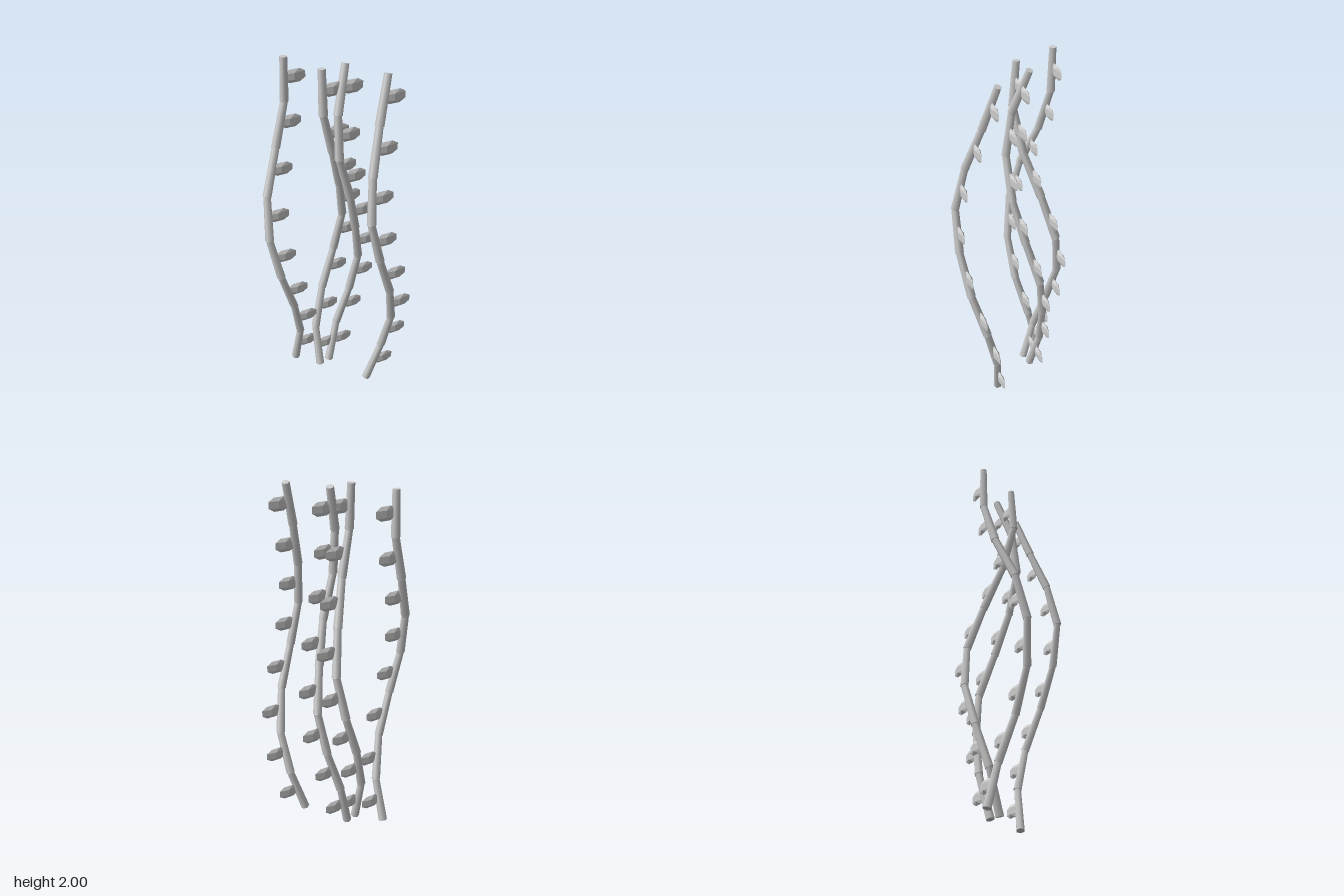
import * as THREE from 'three';
import { ConvexGeometry } from 'three/addons/geometries/ConvexGeometry.js';

const UP = new THREE.Vector3(0, 1, 0);
const BOTTOM = 0.008, TOP = 1.993, JOINTS = 8;

// Joint positions [x, z] of each vine, from the bottom up
const VINES = {
  rightVine: [[-0.155, -0.265], [-0.147, -0.2], [-0.21, -0.137], [-0.295, -0.118], [-0.345, -0.147],
    [-0.323, -0.208], [-0.23, -0.28], [-0.155, -0.315], [-0.15, -0.318]],
  middleVine: [[-0.048, -0.13], [-0.046, -0.193], [0.025, -0.242], [0.115, -0.264], [0.157, -0.232],
    [0.1, -0.162], [0.02, -0.085], [-0.05, -0.052], [-0.048, -0.07]],
  backVine: [[0.02, -0.145], [0.09, -0.178], [0.168, -0.157], [0.207, -0.122], [0.15, -0.055],
    [0.085, 0], [0.013, 0.01], [0.02, -0.02], [0.095, -0.085]],
  frontVine: [[0.147, 0.115], [0.227, 0.146], [0.25, 0.212], [0.193, 0.282], [0.105, 0.315],
    [0.047, 0.313], [0.077, 0.262], [0.15, 0.19], [0.225, 0.132]],
};

// Thin faceted leaf: chamfered outline with a short upright ridge on each side
function leafGeometry() {
  const points = [];
  for (const sy of [-1, 1]) {
    for (const s of [-1, 1]) {
      points.push(
        new THREE.Vector3(s * 0.063, sy * 0.018, 0),
        new THREE.Vector3(s * 0.03, sy * 0.038, 0),
        new THREE.Vector3(-s * 0.008, sy * 0.019, s * 0.014));
    }
  }
  return new ConvexGeometry(points);
}

export function createModel() {
  const model = new THREE.Group();
  model.name = 'hangingVines';
  const stemMaterial = new THREE.MeshStandardMaterial({ color: 0xcccccc });
  const leafMaterial = new THREE.MeshStandardMaterial({ color: 0xcccccc, flatShading: true });
  const leafShape = leafGeometry();

  for (const [name, path] of Object.entries(VINES)) {
    const vine = new THREE.Group();
    vine.name = name;
    const joints = path.map(([x, z], i) =>
      new THREE.Vector3(x, BOTTOM + (TOP - BOTTOM) * i / JOINTS, z));

    for (let i = 0; i < JOINTS; i++) {
      const a = joints[i], b = joints[i + 1];
      const middle = a.clone().lerp(b, 0.5);

      // Slightly tapered stem segment between two joints
      const stem = new THREE.Mesh(
        new THREE.CylinderGeometry(0.021, 0.025, a.distanceTo(b) + 0.004, 6), stemMaterial);
      stem.name = 'stemSegment';
      stem.position.copy(middle);
      stem.quaternion.setFromUnitVectors(UP, b.clone().sub(a).normalize());

      // One leaf on the left side of each segment
      const leaf = new THREE.Mesh(leafShape, leafMaterial);
      leaf.name = 'leaf';
      leaf.position.set(middle.x + 0.064, middle.y + 0.007, middle.z);
      vine.add(stem, leaf);
    }
    model.add(vine);
  }
  return model;
}
